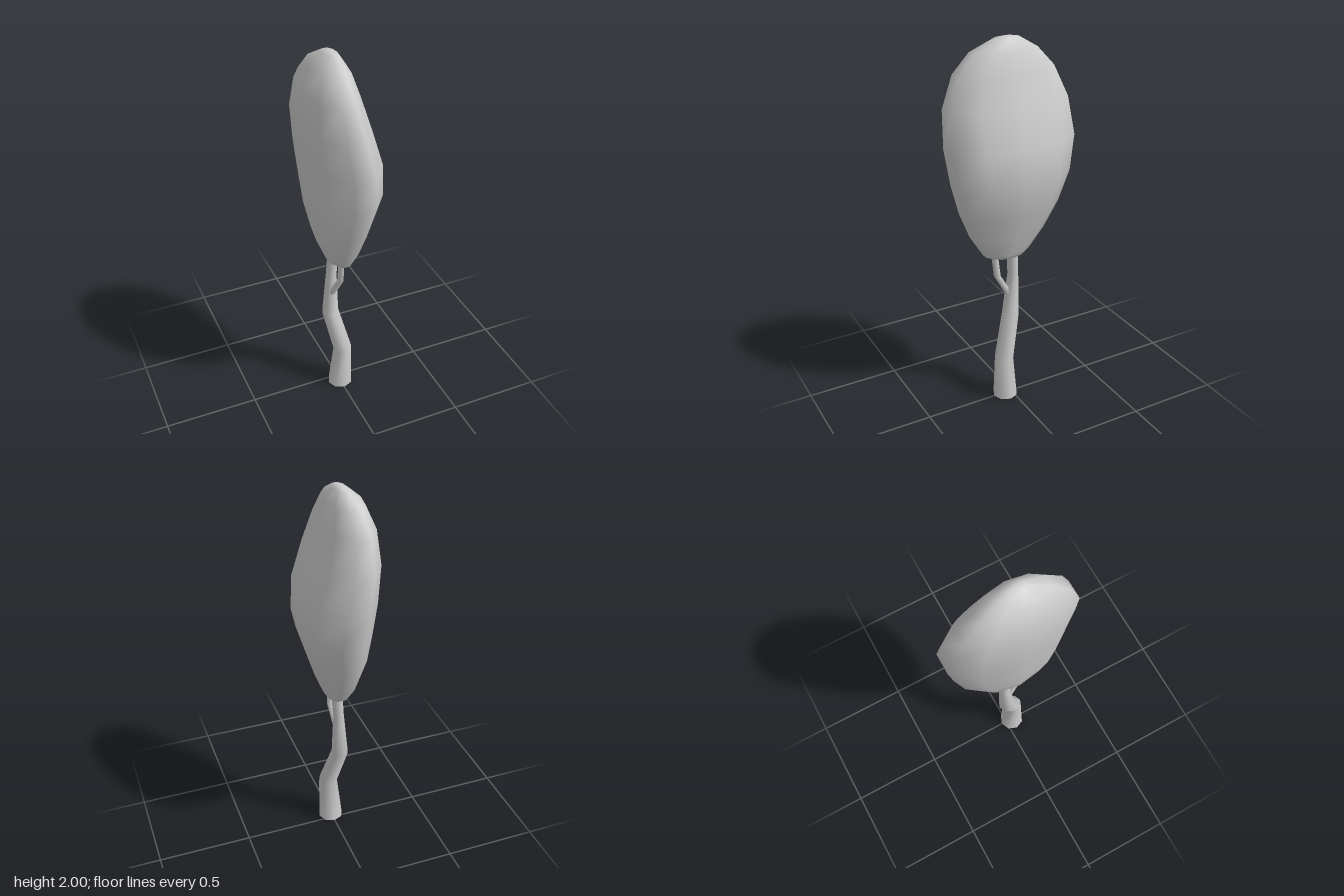
import * as THREE from 'three';

const material = new THREE.MeshStandardMaterial({ color: 0xcccccc });

// Lofts elliptical rings [y, xMin, xMax, zMin, zMax] from bottom to top.
// sharpCaps gives the end faces their own vertices, so their rims stay crisp.
function loft(name, rings, sides, sharpCaps) {
  const positions = [], index = [];
  const addRing = ([y, x0, x1, z0, z1]) => {
    const start = positions.length / 3;
    for (let i = 0; i < sides; i++) {
      const a = (i / sides) * Math.PI * 2;
      positions.push(
        (x0 + x1) / 2 + ((x1 - x0) / 2) * Math.cos(a), y,
        (z0 + z1) / 2 + ((z1 - z0) / 2) * Math.sin(a));
    }
    return start;
  };
  const starts = rings.map(addRing);
  for (let r = 0; r < rings.length - 1; r++) {
    for (let i = 0; i < sides; i++) {
      const j = (i + 1) % sides;
      const a = starts[r] + i, b = starts[r] + j;
      const c = starts[r + 1] + i, d = starts[r + 1] + j;
      index.push(a, c, b, b, c, d);
    }
  }
  const addCap = (r, up, lift) => {
    const [y, x0, x1, z0, z1] = rings[r];
    const start = sharpCaps ? addRing(rings[r]) : starts[r];
    const centre = positions.length / 3;
    positions.push((x0 + x1) / 2, y + lift, (z0 + z1) / 2);
    for (let i = 0; i < sides; i++) {
      const a = start + i, b = start + ((i + 1) % sides);
      if (up) index.push(centre, b, a);
      else index.push(centre, a, b);
    }
  };
  addCap(0, false, 0);
  addCap(rings.length - 1, true, sharpCaps ? 0 : 0.01);

  const geometry = new THREE.BufferGeometry();
  geometry.setAttribute('position', new THREE.Float32BufferAttribute(positions, 3));
  geometry.setIndex(index);
  geometry.computeVertexNormals();
  const mesh = new THREE.Mesh(geometry, material);
  mesh.name = name;
  return mesh;
}

// Round limb along [x, y, z, radius] points
const limb = (name, points, sides) => loft(name,
  points.map(([x, y, z, r]) => [y, x - r, x + r, z - r, z + r]), sides, true);

export function createModel() {
  const tree = new THREE.Group();
  tree.name = 'tree';

  // Crooked tapering trunk
  tree.add(limb('trunk', [
    [0.002, 0, 0.038, 0.068],
    [0.013, 0.25, 0.05, 0.052],
    [-0.033, 0.48, -0.014, 0.047],
    [-0.022, 0.73, -0.024, 0.03],
    [-0.013, 0.92, -0.012, 0.031],
  ], 8));

  // Thin side branch on the front of the trunk
  tree.add(limb('branch', [
    [-0.03, 0.6, -0.01, 0.02],
    [-0.012, 0.745, 0.075, 0.018],
    [-0.014, 0.92, 0.095, 0.017],
  ], 6));

  // Tall flattened crown: narrow in x, egg-shaped in z, leaning to the left low down.
  // z spans are widened because a ten-sided ring stops short of its ellipse in z.
  const crown = [
    [0.858, -0.065, 0.04, -0.075, 0.105],
    [0.88, -0.075, 0.05, -0.105, 0.15],
    [0.99, -0.12, 0.095, -0.185, 0.215],
    [1.13, -0.15, 0.14, -0.257, 0.27],
    [1.3, -0.17, 0.193, -0.305, 0.315],
    [1.48, -0.185, 0.18, -0.336, 0.339],
    [1.67, -0.196, 0.118, -0.32, 0.327],
    [1.83, -0.18, 0.068, -0.252, 0.267],
    [1.93, -0.14, 0.038, -0.16, 0.182],
    [1.99, -0.07, 0.0, -0.06, 0.07],
  ].map(([y, x0, x1, z0, z1]) => {
    const extra = ((z1 - z0) / 2) * (1 / Math.sin(Math.PI * 0.4) - 1);
    return [y, x0, x1, z0 - extra, z1 + extra];
  });
  tree.add(loft('crown', crown, 10, false));

  return tree;
}
